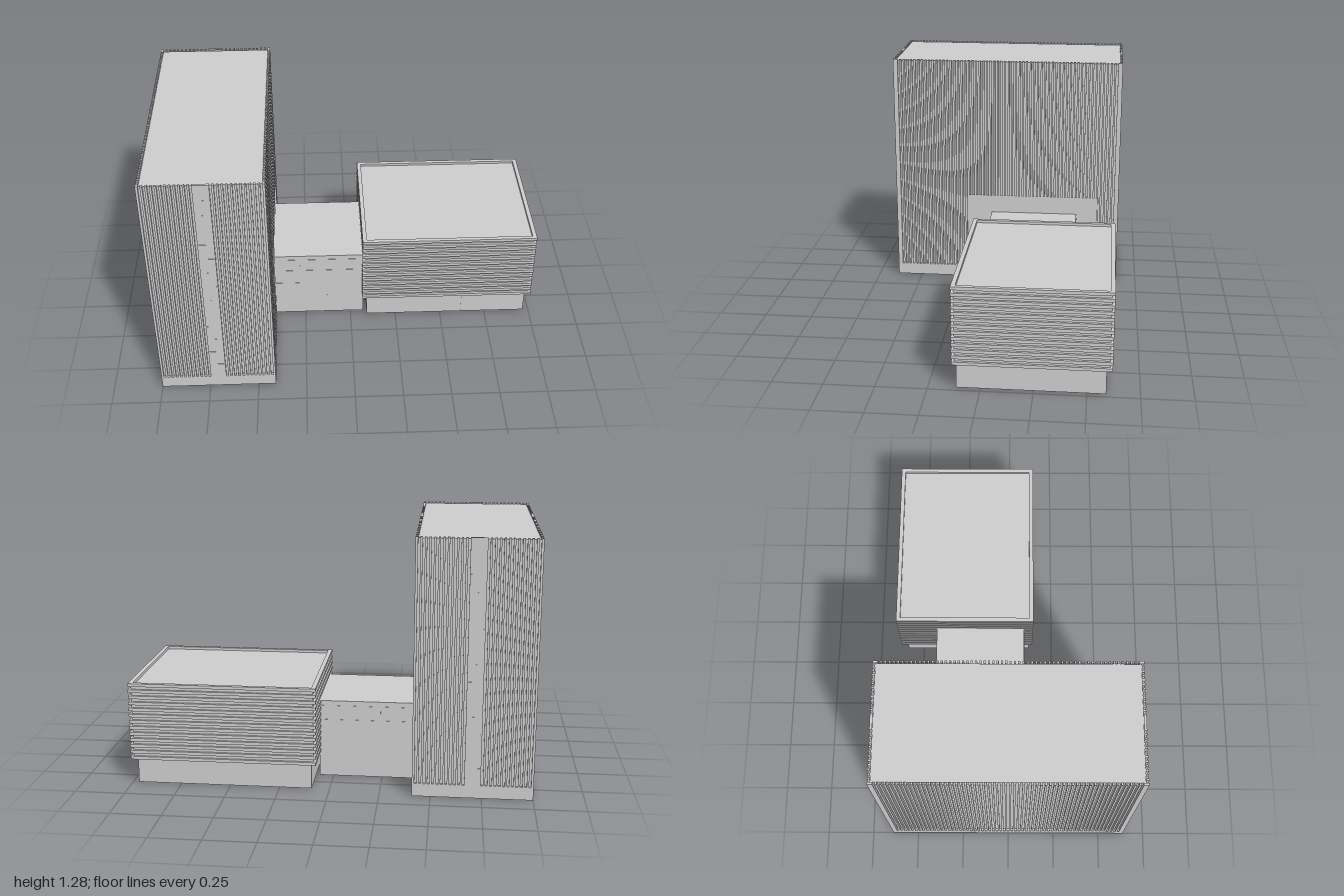
import * as THREE from 'three';

const grey = new THREE.MeshStandardMaterial({ color: 0xcccccc, side: THREE.DoubleSide });

function box(name, x0, x1, y0, y1, z0, z1) {
  const mesh = new THREE.Mesh(new THREE.BoxGeometry(x1 - x0, y1 - y0, z1 - z0), grey);
  mesh.position.set((x0 + x1) / 2, (y0 + y1) / 2, (z0 + z1) / 2);
  mesh.name = name;
  return mesh;
}

// Tower dimensions: fin depth, base band, roof height, fin tops
const DEPTH = 0.013, BASE = 0.065, ROOF = 1.276, TOP = 1.283;
const TX = -0.705, TW = 0.59, TD = 1.276;

// Fill the gaps between wide solid piers with evenly spaced fins
function addFins(solids) {
  const out = [];
  solids.forEach(([a, b], i) => {
    out.push([a, b]);
    if (i === solids.length - 1) return;
    const gap = solids[i + 1][0] - b;
    const n = Math.round((gap / 0.0102 + 1) / 2);
    const w = gap / (2 * n - 1);
    for (let k = 1; k < n; k++) out.push([b + (2 * k - 1) * w, b + 2 * k * w]);
  });
  return out;
}

// One corrugated tower face, facing +z with its outer plane at z = 0.
// An optional plain panel interrupts the base and the lower fins.
function corrugatedFace(name, solids, panel) {
  const pos = [];
  const quad = (a, b, c, d) => pos.push(...a, ...b, ...c, ...a, ...c, ...d);
  const wall = (u0, u1, d, y0, y1) =>
    quad([u0, y0, d], [u1, y0, d], [u1, y1, d], [u0, y1, d]);
  const ledge = (u0, u1, y) =>
    quad([u0, y, 0], [u1, y, 0], [u1, y, -DEPTH], [u0, y, -DEPTH]);
  const cheek = (u, y0, y1) =>
    quad([u, y0, 0], [u, y0, -DEPTH], [u, y1, -DEPTH], [u, y1, 0]);
  const bottom = (u) => (panel && u > panel[0] && u < panel[1] ? panel[2] : BASE);

  const piers = addFins(solids);
  const last = piers.length - 1;
  piers.forEach(([a, b], i) => {
    const y0 = bottom((a + b) / 2);
    wall(a, b, 0, y0, TOP);
    ledge(a, b, TOP);
    if (y0 > BASE) ledge(a, b, y0);
    if (i > 0) cheek(a, y0, TOP);
    if (i < last) {
      cheek(b, y0, TOP);
      const next = piers[i + 1][0];
      wall(b, next, -DEPTH, bottom((b + next) / 2), ROOF);
    }
  });

  // Base band, split around the panel
  const u0 = piers[0][0], u1 = piers[last][1];
  const bands = panel ? [[u0, panel[0]], [panel[1], u1]] : [[u0, u1]];
  for (const [a, b] of bands) {
    wall(a, b, 0, 0, BASE);
    ledge(a, b, BASE);
  }
  if (panel) {
    wall(panel[0], panel[1], -DEPTH, 0, panel[2]);
    cheek(panel[0], 0, BASE);
    cheek(panel[1], 0, BASE);
  }
  const geo = new THREE.BufferGeometry();
  geo.setAttribute('position', new THREE.Float32BufferAttribute(pos, 3));
  geo.computeVertexNormals();
  const mesh = new THREE.Mesh(geo, grey);
  mesh.name = name;
  return mesh;
}

function createTower() {
  const tower = new THREE.Group();
  tower.name = 'tower';
  const w = TW / 2, d = TD / 2;
  const strip = [-0.04, 0.04];
  const long = [[-d, -d + 0.025], [d - 0.025, d]];
  const short = (shift) => [
    [-w, -w + 0.012], [strip[0] + shift, strip[1] + shift], [w - 0.012, w],
  ];
  const faces = [
    ['frontFace', short(0), null, d],
    ['rightFace', long, [-0.22, 0.52, 0.5], w],
    ['backFace', short(0), null, d],
    ['leftFace', long, null, w],
  ];
  faces.forEach(([name, solids, panel, out], k) => {
    const pivot = new THREE.Group();
    pivot.name = name;
    const face = corrugatedFace(name + 'Wall', solids, panel);
    face.position.z = out;
    pivot.add(face);
    // Short floor joints, alternating along the smooth strip
    if (k % 2 === 0) {
      for (let i = 0; i < 13; i++) {
        const u = i % 2 ? -0.035 : 0;
        const y = 0.15 + i * 0.087;
        pivot.add(box('floorJoint', u, u + 0.035, y, y + 0.004, out - 0.002, out + 0.0015));
      }
    }
    pivot.rotation.y = (k * Math.PI) / 2;
    tower.add(pivot);
  });
  const roof = new THREE.Mesh(new THREE.PlaneGeometry(TW - 2 * DEPTH, TD - 2 * DEPTH), grey);
  roof.rotation.x = -Math.PI / 2;
  roof.position.y = ROOF;
  roof.name = 'towerRoof';
  tower.add(roof);
  tower.position.x = TX;
  return tower;
}

function createLink() {
  const link = new THREE.Group();
  link.name = 'link';
  const z0 = -0.4, z1 = 0.085;
  link.add(box('linkBody', -0.415, 0.07, 0, 0.4, z0, z1));
  // Slim window frames on both long sides
  for (const z of [z0, z1]) {
    const bar = (x0, x1, y0, y1) =>
      link.add(box('windowFrame', x0, x1, y0, y1, z - 0.0015, z + 0.0015));
    bar(-0.41, 0.07, 0.372, 0.375);
    bar(-0.41, 0.07, 0.298, 0.301);
    for (const x of [-0.28, -0.24, -0.1]) bar(x, x + 0.004, 0.301, 0.372);
    if (z > 0) {
      bar(-0.41, -0.28, 0.21, 0.213);
      for (const x of [-0.28, -0.13]) bar(x, x + 0.004, 0, 0.12);
    }
  }
  return link;
}

function createPavilion() {
  const pavilion = new THREE.Group();
  pavilion.name = 'pavilion';
  const x0 = 0.065, x1 = 1, z0 = -0.618, z1 = 0.135;
  const y0 = 0.13, y1 = 0.525, inset = 0.013, rim = 0.022;
  pavilion.add(box('plinth', 0.09, 0.97, 0, y0 + 0.002, -0.59, 0.115));
  pavilion.add(box('plinthJoint', 0.618, 0.622, 0, y0, 0.113, 0.1165));
  pavilion.add(box('pavilionCore', x0 + inset, x1 - inset, y0 + 0.002, y1 - 0.014,
    z0 + inset, z1 - inset));

  // Horizontal louvres: frames wrapped round the core
  const count = 13, step = (y1 - y0) / (count - 0.5);
  const ring = new THREE.Shape([
    new THREE.Vector2(x0, -z1), new THREE.Vector2(x1, -z1),
    new THREE.Vector2(x1, -z0), new THREE.Vector2(x0, -z0),
  ]);
  ring.holes.push(new THREE.Path([
    new THREE.Vector2(x0 + rim, -z1 + rim), new THREE.Vector2(x0 + rim, -z0 - rim),
    new THREE.Vector2(x1 - rim, -z0 - rim), new THREE.Vector2(x1 - rim, -z1 + rim),
  ]));
  const louvreGeo = new THREE.ExtrudeGeometry(ring, { depth: step / 2, bevelEnabled: false });
  louvreGeo.rotateX(-Math.PI / 2);
  for (let i = 0; i < count; i++) {
    const louvre = new THREE.Mesh(louvreGeo, grey);
    louvre.position.y = y0 + i * step;
    louvre.name = i === count - 1 ? 'parapet' : 'louvre';
    pavilion.add(louvre);
  }
  return pavilion;
}

export function createModel() {
  const model = new THREE.Group();
  model.name = 'buildingComplex';
  model.add(createTower(), createLink(), createPavilion());
  return model;
}
